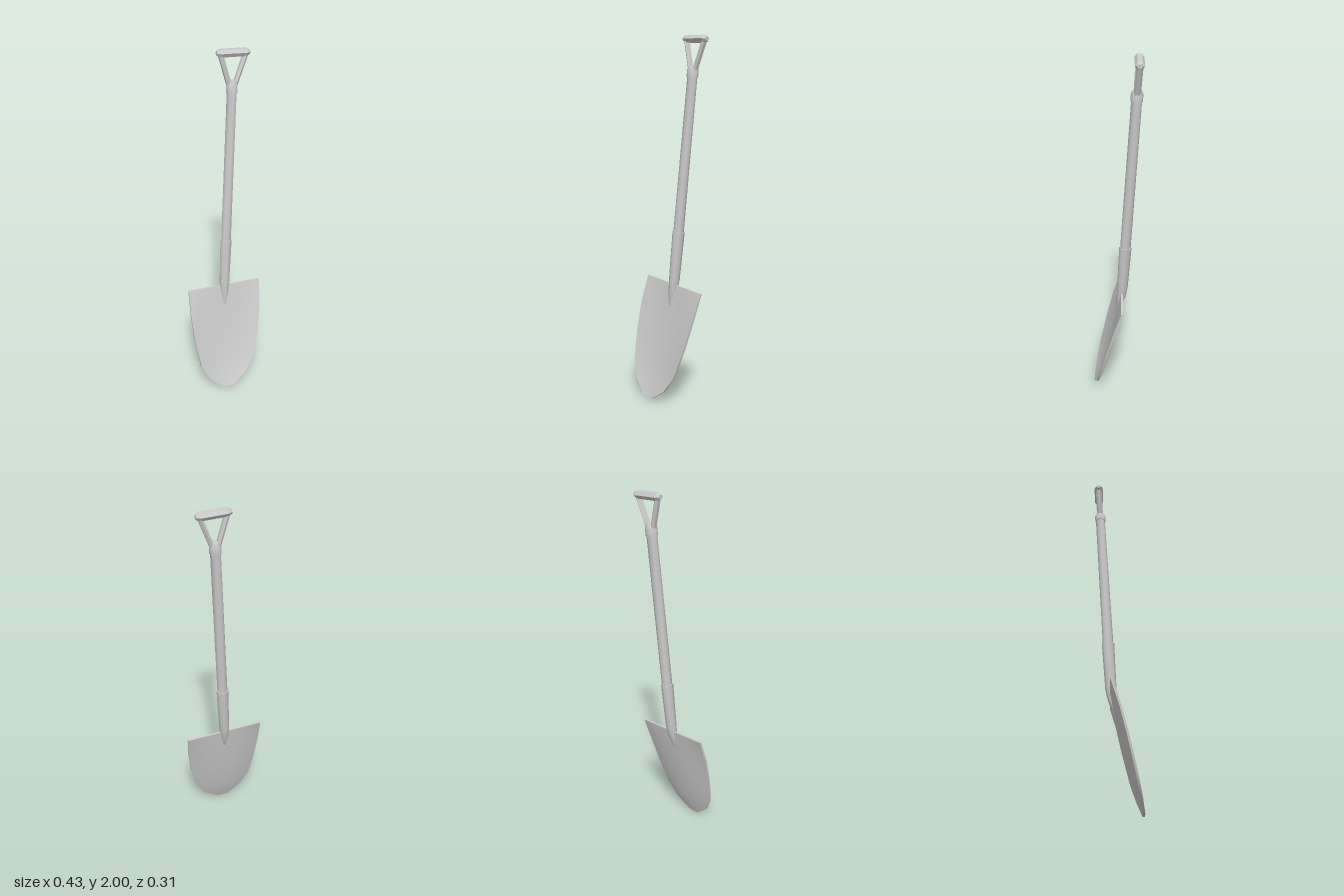
import * as THREE from 'three';
import { mergeGeometries, toCreasedNormals } from 'three/addons/utils/BufferGeometryUtils.js';

const smooth = new THREE.MeshStandardMaterial({ color: 0xcccccc });
const faceted = new THREE.MeshStandardMaterial({ color: 0xcccccc, flatShading: true });

// Loft a sheet through rows of points
function sheet(rows, flip = false) {
  const n = rows[0].length, index = [];
  for (let j = 0; j < rows.length - 1; j++) {
    for (let i = 0; i < n - 1; i++) {
      const a = j * n + i, b = a + 1, c = a + n, d = c + 1;
      index.push(...(flip ? [a, b, c, b, d, c] : [a, c, b, b, c, d]));
    }
  }
  const g = new THREE.BufferGeometry();
  g.setAttribute('position', new THREE.Float32BufferAttribute(rows.flat(2), 3));
  g.setIndex(index);
  g.computeVertexNormals();
  return g;
}

// Dished blade: each section is half width, height, edge depth, dish depth
function bladeGeometry() {
  const sections = [
    [0.219, 0, 0, 0], [0.216, -0.15, 0.037, 0.02], [0.2, -0.31, 0.067, 0.027],
    [0.168, -0.48, 0.095, 0.024], [0.115, -0.575, 0.111, 0.014], [0.033, -0.646, 0.122, 0],
  ];
  const cols = 8, thick = 0.012;
  const rowsAt = (offset) => sections.map(([w, y, z, dish]) =>
    Array.from({ length: cols + 1 }, (_, i) => {
      const u = (i / cols) * 2 - 1;
      return [u * w, y, z - dish * (1 - u * u) + offset];
    }));
  const front = rowsAt(thick / 2), back = rowsAt(-thick / 2);
  // Rim, walked once around the outline
  const outline = (r) => [
    ...r[0], ...r.slice(1).map((row) => row[cols]),
    ...r[r.length - 1].slice(0, -1).reverse(), ...r.slice(0, -1).reverse().map((row) => row[0]),
  ];
  const rim = toCreasedNormals(sheet([outline(back), outline(front)]), 0.6);
  return mergeGeometries([sheet(front).toNonIndexed(), sheet(back, true).toNonIndexed(), rim].map((g) => {
    g.deleteAttribute('uv');
    return g;
  }));
}

function lathe(profile, sides) {
  return new THREE.LatheGeometry(profile.map(([r, y]) => new THREE.Vector2(r, y)), sides);
}

export function createModel() {
  const model = new THREE.Group();
  model.name = 'shovel';
  const add = (name, geometry, material = smooth) => {
    const mesh = new THREE.Mesh(geometry, material);
    mesh.name = name;
    model.add(mesh);
    return mesh;
  };

  add('blade', bladeGeometry());

  // Socket, narrowing to a point that runs into the blade
  const socket = lathe([[0, -0.15], [0.014, -0.09], [0.025, -0.03], [0.03, 0.03], [0.034, 0.303], [0, 0.303]], 8);
  const p = socket.attributes.position;
  for (let i = 0; i < p.count; i++) p.setZ(i, p.getZ(i) + Math.max(0, -p.getY(i)) * 0.12);
  add('socket', toCreasedNormals(socket, 0.9));

  // Shaft
  add('shaft', toCreasedNormals(new THREE.CylinderGeometry(0.027, 0.029, 0.86, 8), 0.9)).position.y = 0.72;

  // Collar at the foot of the handle
  add('collar', toCreasedNormals(lathe([[0, 1.14], [0.031, 1.14], [0.031, 1.18], [0.022, 1.2], [0, 1.2]], 8), 0.9));

  // Two arms spreading up to the grip
  const up = new THREE.Vector3(0, 1, 0);
  for (const side of [-1, 1]) {
    const from = new THREE.Vector3(side * 0.013, 1.17, 0);
    const to = new THREE.Vector3(side * 0.068, 1.335, 0);
    const dir = to.clone().sub(from);
    const geometry = new THREE.CylinderGeometry(0.016, 0.016, dir.length(), 6);
    geometry.scale(0.85, 1, 1.1);
    const arm = add(side < 0 ? 'rightArm' : 'leftArm', geometry, faceted);
    arm.position.copy(from).add(to).multiplyScalar(0.5);
    arm.quaternion.setFromUnitVectors(up, dir.normalize());
  }

  // Cross grip with bevelled ends
  const grip = lathe([[0, -0.088], [0.014, -0.088], [0.025, -0.068], [0.025, 0.068], [0.014, 0.088], [0, 0.088]], 6);
  grip.rotateZ(Math.PI / 2);
  grip.scale(1, 0.88, 1);
  add('grip', grip, faceted).position.y = 1.34;

  // Lean the whole tool back and to its left
  const y = new THREE.Vector3(0.048, 0.9965, -0.07).normalize();
  const z = new THREE.Vector3(0.982, -0.06, -0.183).cross(y).normalize();
  const x = y.clone().cross(z);
  model.quaternion.setFromRotationMatrix(new THREE.Matrix4().makeBasis(x, y, z));
  model.position.set(0, 0.638, -0.02);

  const root = new THREE.Group();
  root.name = 'shovelRoot';
  root.add(model);
  return root;
}
